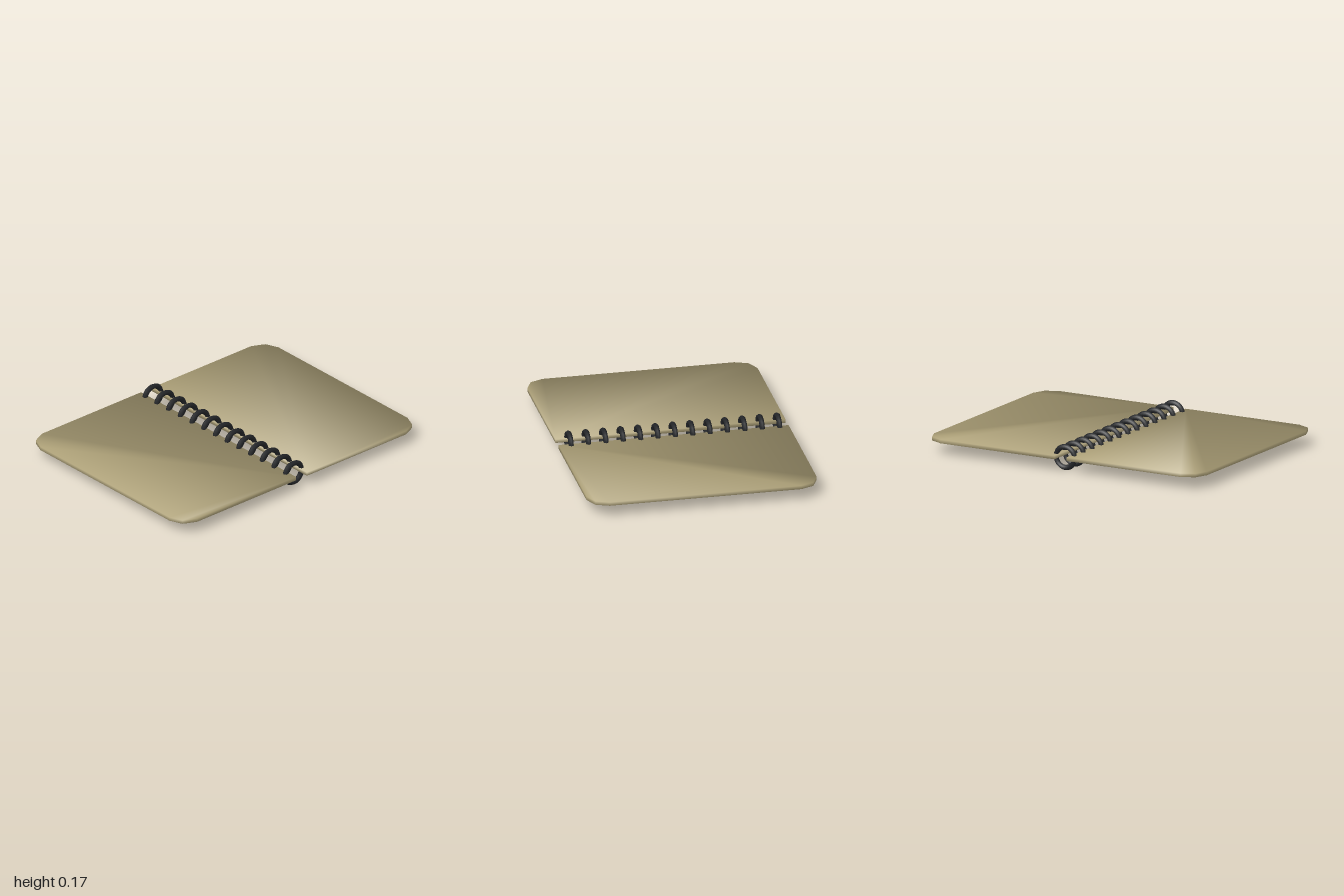
import * as THREE from 'three';

const coverMaterial = new THREE.MeshStandardMaterial({ color: 0xb3a67c });
coverMaterial.name = 'tanCard';
const ringMaterial = new THREE.MeshStandardMaterial({ color: 0x232528 });
ringMaterial.name = 'blackWire';

// Cover outline (x, z), starting at the binding edge, with two-step clipped outer corners
const OUTLINE = [
  [0.745, 0.045], [0.745, 0.88], [0.705, 0.965], [0.62, 1],
  [-0.62, 1], [-0.705, 0.965], [-0.745, 0.88], [-0.745, 0.045],
];
const BOTTOM = 0.078, TOP = 0.102;

// Thin slab with shared, softly blended normals; side = 1 front, -1 back
function coverGeometry(side) {
  const n = OUTLINE.length;
  const positions = [], normals = [], index = [];
  const tri = (a, b, c) => (side > 0 ? index.push(a, b, c) : index.push(a, c, b));
  const edgeNormal = (i) => {
    const [x0, z0] = OUTLINE[(i + n) % n];
    const [x1, z1] = OUTLINE[(i + 1) % n];
    return new THREE.Vector2(z1 - z0, x0 - x1).normalize();
  };
  for (const [y, up] of [[TOP, 1], [BOTTOM, -1]]) {
    OUTLINE.forEach(([x, z], i) => {
      const out = edgeNormal(i - 1).add(edgeNormal(i));
      const normal = new THREE.Vector3(out.x, up, out.y * side).normalize();
      positions.push(x, y, z * side);
      normals.push(normal.x, normal.y, normal.z);
    });
  }
  // Top and bottom fans
  for (let i = 1; i < n - 1; i++) {
    tri(0, i + 1, i);
    tri(n, n + i, n + i + 1);
  }
  // Rim
  for (let i = 0; i < n; i++) {
    const j = (i + 1) % n;
    tri(i, j, n + j);
    tri(i, n + j, n + i);
  }
  const geometry = new THREE.BufferGeometry();
  geometry.setAttribute('position', new THREE.Float32BufferAttribute(positions, 3));
  geometry.setAttribute('normal', new THREE.Float32BufferAttribute(normals, 3));
  geometry.setIndex(index);
  return geometry;
}

export function createModel() {
  const model = new THREE.Group();
  model.name = 'openNotebook';

  // Two covers lying flat
  for (const [name, side] of [['frontCover', 1], ['backCover', -1]]) {
    const cover = new THREE.Mesh(coverGeometry(side), coverMaterial);
    cover.name = name;
    model.add(cover);
  }

  // Row of binding rings along the gap
  const binding = new THREE.Group();
  binding.name = 'binding';
  const ringGeometry = new THREE.TorusGeometry(0.0675, 0.0175, 6, 24);
  ringGeometry.rotateY(Math.PI / 2);
  for (let i = 0; i < 13; i++) {
    const ring = new THREE.Mesh(ringGeometry, ringMaterial);
    ring.name = 'bindingRing';
    ring.position.set(-0.683 + i * 0.1125, 0.085, 0);
    binding.add(ring);
  }
  model.add(binding);
  return model;
}
